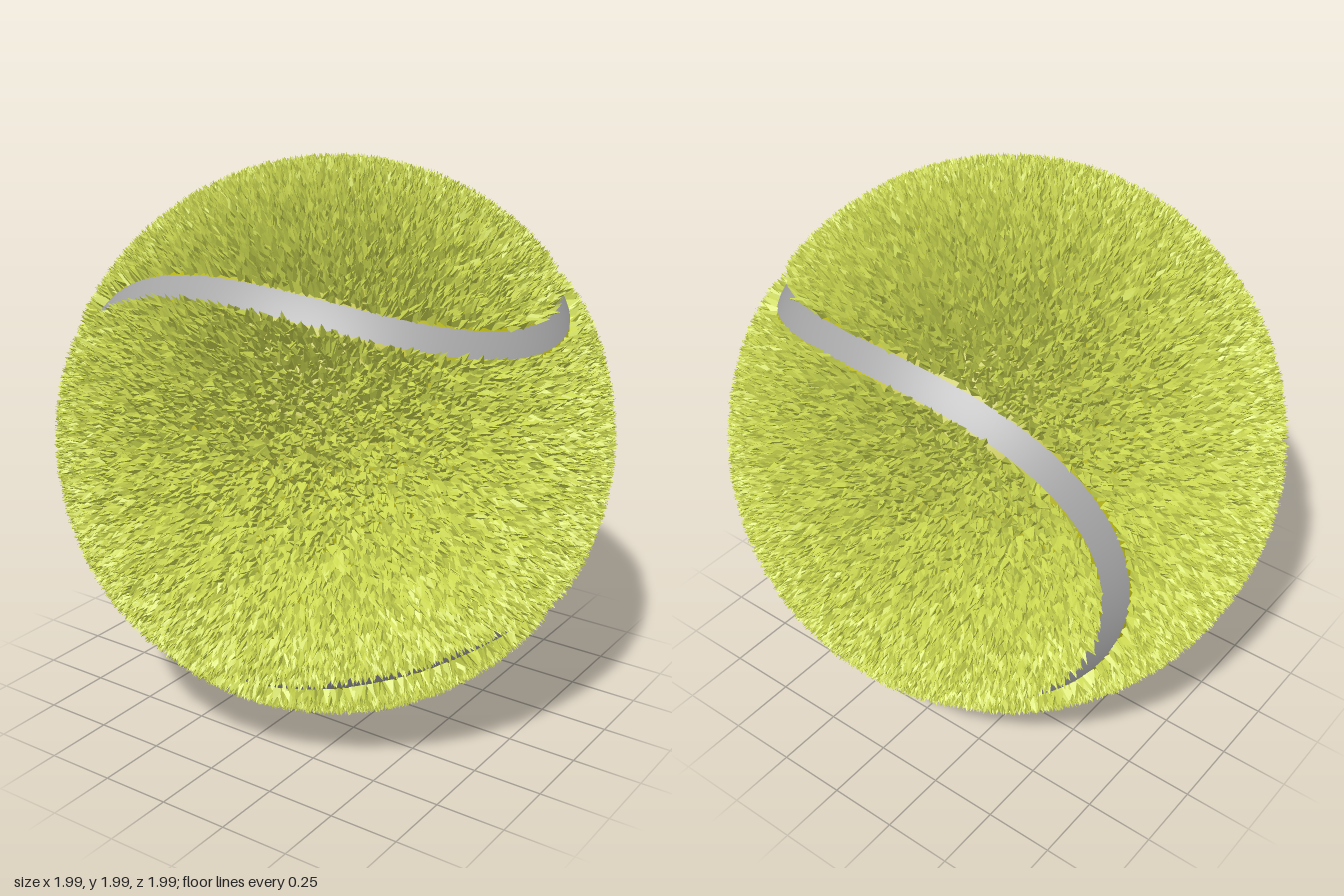
import * as THREE from 'three';

const CORE = 0.94;          // radius of the felt backing
const SEAM_HALF = 0.05;     // half width of the rubber seam
const FUZZ_GAP = 0.06;      // fuzz keeps this far from the seam line
const TUFTS = 46000;

function seededRandom(seed) {
  return () => {
    seed = (seed * 1664525 + 1013904223) >>> 0;
    return seed / 4294967296;
  };
}

// Unit direction of the closed seam line, s from 0 to 2 pi
function seamPoint(s) {
  const a = 0.73, b = 0.23;
  return new THREE.Vector3(
    2 * Math.sqrt(a * b) * Math.cos(2 * s),
    a * Math.cos(s) - b * Math.cos(3 * s),
    a * Math.sin(s) + b * Math.sin(3 * s)
  ).normalize();
}

function toGeometry(positions, index, normals) {
  const geo = new THREE.BufferGeometry();
  geo.setAttribute('position', new THREE.Float32BufferAttribute(positions, 3));
  if (index) geo.setIndex(index);
  if (normals) geo.setAttribute('normal', new THREE.Float32BufferAttribute(normals, 3));
  else geo.computeVertexNormals();
  return geo;
}

// Ribbon that follows the seam just above the backing
function seamGeometry() {
  const steps = 320, across = 6, pos = [], nor = [], idx = [];
  for (let i = 0; i <= steps; i++) {
    const s = (i / steps) * Math.PI * 2;
    const p = seamPoint(s);
    const tangent = seamPoint(s + 0.001).sub(seamPoint(s - 0.001)).normalize();
    const side = new THREE.Vector3().crossVectors(p, tangent);
    for (let j = 0; j <= across; j++) {
      const u = (j / across) * 2 - 1;
      const n = p.clone().addScaledVector(side, u * SEAM_HALF).normalize();
      const v = n.clone().multiplyScalar(CORE + 0.008 - 0.006 * u * u);
      pos.push(v.x, v.y, v.z);
      nor.push(n.x, n.y, n.z);
      if (i < steps && j < across) {
        const k = i * (across + 1) + j, m = k + across + 1;
        idx.push(k, m, k + 1, k + 1, m, m + 1);
      }
    }
  }
  return toGeometry(pos, idx, nor);
}

// Thousands of small three-sided tufts spread evenly over the felt
function fuzzGeometry() {
  const rand = seededRandom(7), pos = [];
  const seam = Array.from({ length: 400 }, (_, i) => seamPoint((i / 400) * Math.PI * 2));
  const golden = Math.PI * (3 - Math.sqrt(5));
  const limit = Math.cos(FUZZ_GAP);
  const ref = new THREE.Vector3();
  for (let i = 0; i < TUFTS; i++) {
    const y = 1 - (2 * (i + 0.5)) / TUFTS;
    const r = Math.sqrt(1 - y * y);
    const n = new THREE.Vector3(Math.cos(i * golden) * r, y, Math.sin(i * golden) * r);
    n.x += (rand() - 0.5) * 0.014;
    n.y += (rand() - 0.5) * 0.014;
    n.z += (rand() - 0.5) * 0.014;
    n.normalize();
    if (seam.some((q) => q.dot(n) > limit)) continue;

    ref.set(Math.abs(n.y) > 0.9 ? 1 : 0, Math.abs(n.y) > 0.9 ? 0 : 1, 0);
    const u = new THREE.Vector3().crossVectors(ref, n).normalize();
    const w = new THREE.Vector3().crossVectors(n, u);
    const turn = rand() * Math.PI * 2, width = 0.014 + rand() * 0.007;
    const lean = rand() * 0.024, leanTurn = rand() * Math.PI * 2;
    const tip = n.clone().multiplyScalar(CORE + 0.042 + rand() * 0.016)
      .addScaledVector(u, Math.cos(leanTurn) * lean)
      .addScaledVector(w, Math.sin(leanTurn) * lean);
    const base = [0, 1, 2].map((k) => {
      const a = turn + (k * Math.PI * 2) / 3;
      return n.clone().multiplyScalar(CORE - 0.002)
        .addScaledVector(u, Math.cos(a) * width)
        .addScaledVector(w, Math.sin(a) * width);
    });
    for (let k = 0; k < 3; k++) {
      for (const v of [base[k], base[(k + 1) % 3], tip]) pos.push(v.x, v.y, v.z);
    }
  }
  return toGeometry(pos);
}

export function createModel() {
  const model = new THREE.Group();
  model.name = 'tennisBall';
  const make = (name, geometry, color, materialName) => {
    const material = new THREE.MeshStandardMaterial({ color });
    material.name = materialName;
    const mesh = new THREE.Mesh(geometry, material);
    mesh.name = name;
    mesh.position.y = 1;
    model.add(mesh);
  };
  make('feltBacking', new THREE.SphereGeometry(CORE, 64, 40), 0xb5b512, 'deepYellow');
  make('seam', seamGeometry(), 0xa6a6a6, 'rubberGrey');
  make('feltFuzz', fuzzGeometry(), 0xcbd850, 'feltYellowGreen');
  return model;
}
